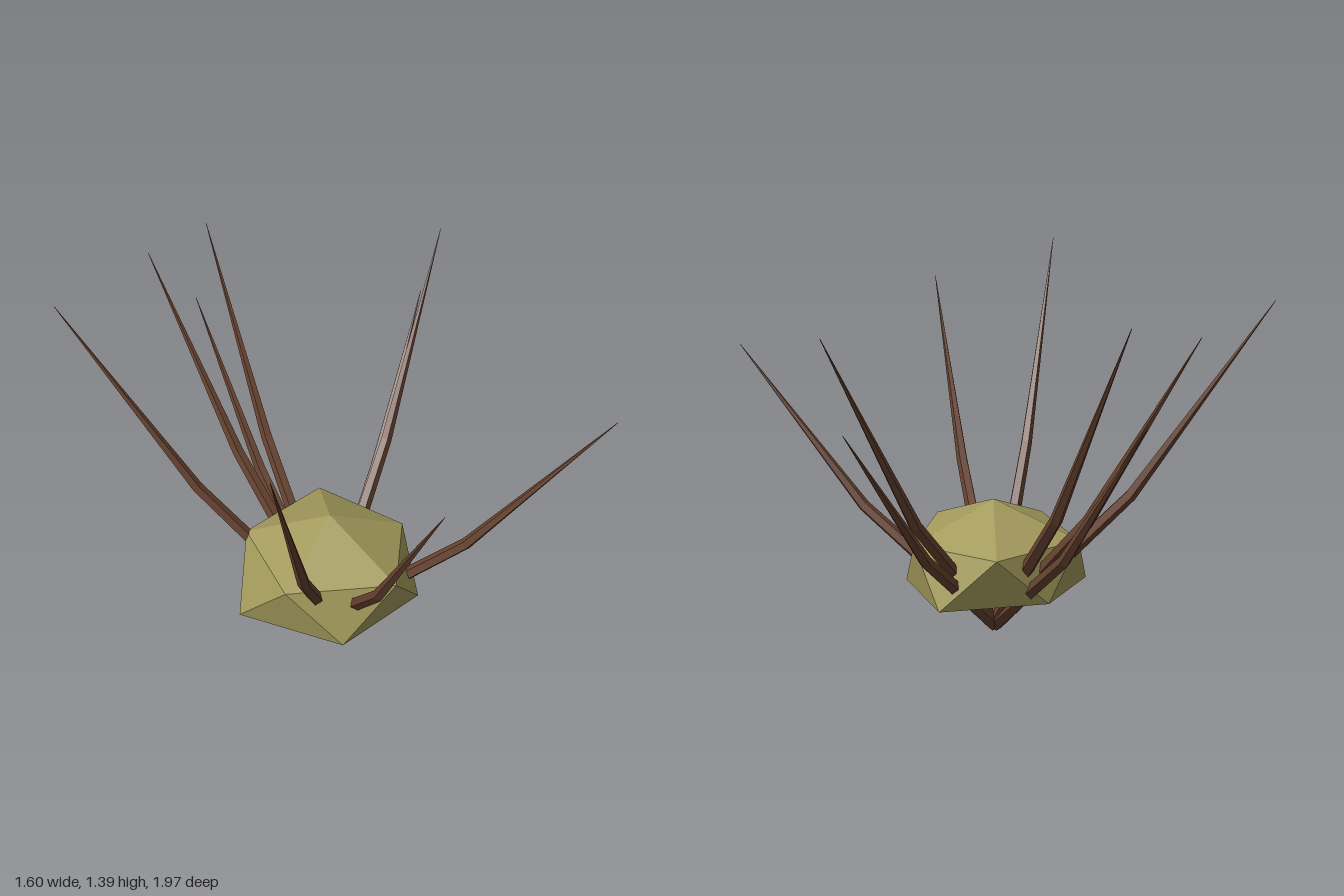
import * as THREE from 'three';
import { ConvexGeometry } from 'three/addons/geometries/ConvexGeometry.js';

const V = (x, y, z) => new THREE.Vector3(x, y, z);

// Tapered five-sided stalk through base, bend and tip
function stalkGeometry(base, bend, tip) {
  const centres = [base, bend, tip];
  const radii = [0.03, 0.023, 0.001];
  const lower = bend.clone().sub(base).normalize();
  const upper = tip.clone().sub(bend).normalize();
  const dirs = [lower, lower.clone().add(upper).normalize(), upper];
  const side = V(0, 1, 0).cross(lower).normalize();
  const geo = new THREE.CylinderGeometry(1, 1, 1, 5, 2);
  const pos = geo.attributes.position;
  for (let i = 0; i < pos.count; i++) {
    const row = Math.round((pos.getY(i) + 0.5) * 2);
    const depth = side.clone().cross(dirs[row]);
    const p = centres[row].clone()
      .addScaledVector(side, pos.getX(i) * radii[row])
      .addScaledVector(depth, pos.getZ(i) * radii[row]);
    pos.setXYZ(i, p.x, p.y, p.z);
  }
  geo.computeVertexNormals();
  return geo;
}

export function createModel() {
  const model = new THREE.Group();
  model.name = 'spikyShrub';
  const leaf = new THREE.MeshStandardMaterial({ name: 'olive leaf', color: 0xa39a5c, flatShading: true });
  const bark = new THREE.MeshStandardMaterial({ name: 'brown bark', color: 0x66422f, flatShading: true });

  // Squashed faceted clump of foliage
  const clump = new THREE.Mesh(new ConvexGeometry([
    V(-0.01, 0.515, 0), V(-0.01, 0.095, 0),
    V(0.1, 0.385, 0.33), V(0.1, 0.385, -0.33), V(0.3, 0.37, 0),
    V(-0.285, 0.385, 0.2), V(-0.27, 0.385, -0.2),
    V(-0.39, 0.165, 0), V(-0.115, 0.175, 0.33), V(-0.12, 0.185, -0.28),
    V(0.27, 0.17, 0.2), V(0.27, 0.175, -0.2),
  ]), leaf);
  clump.name = 'foliageClump';
  model.add(clump);

  // Stalks fan out from one root: tip x, y, z and height of the bend
  const root = V(-0.015, 0.025, 0);
  [
    [-0.8, 1.29, -0.6, 0.57],
    [-0.58, 1.39, 0.81, 0.61],
    [-0.335, 1.24, -0.94, 0.55],
    [-0.11, 1.23, 0.98, 0.54],
    [-0.075, 1.29, -0.99, 0.57],
    [-0.14, 0.98, -0.98, 0.42],
    [0.77, 1.25, -0.62, 0.54],
    [0.8, 1.05, 0.58, 0.45],
    [0.72, 0.96, -0.67, 0.42],
  ].forEach(([x, y, z, bendY], i) => {
    const tip = V(x, y, z);
    const bend = root.clone().lerp(tip, 0.515).setY(bendY);
    const stalk = new THREE.Mesh(stalkGeometry(root, bend, tip), bark);
    stalk.name = `stalk${i + 1}`;
    model.add(stalk);
  });
  return model;
}
